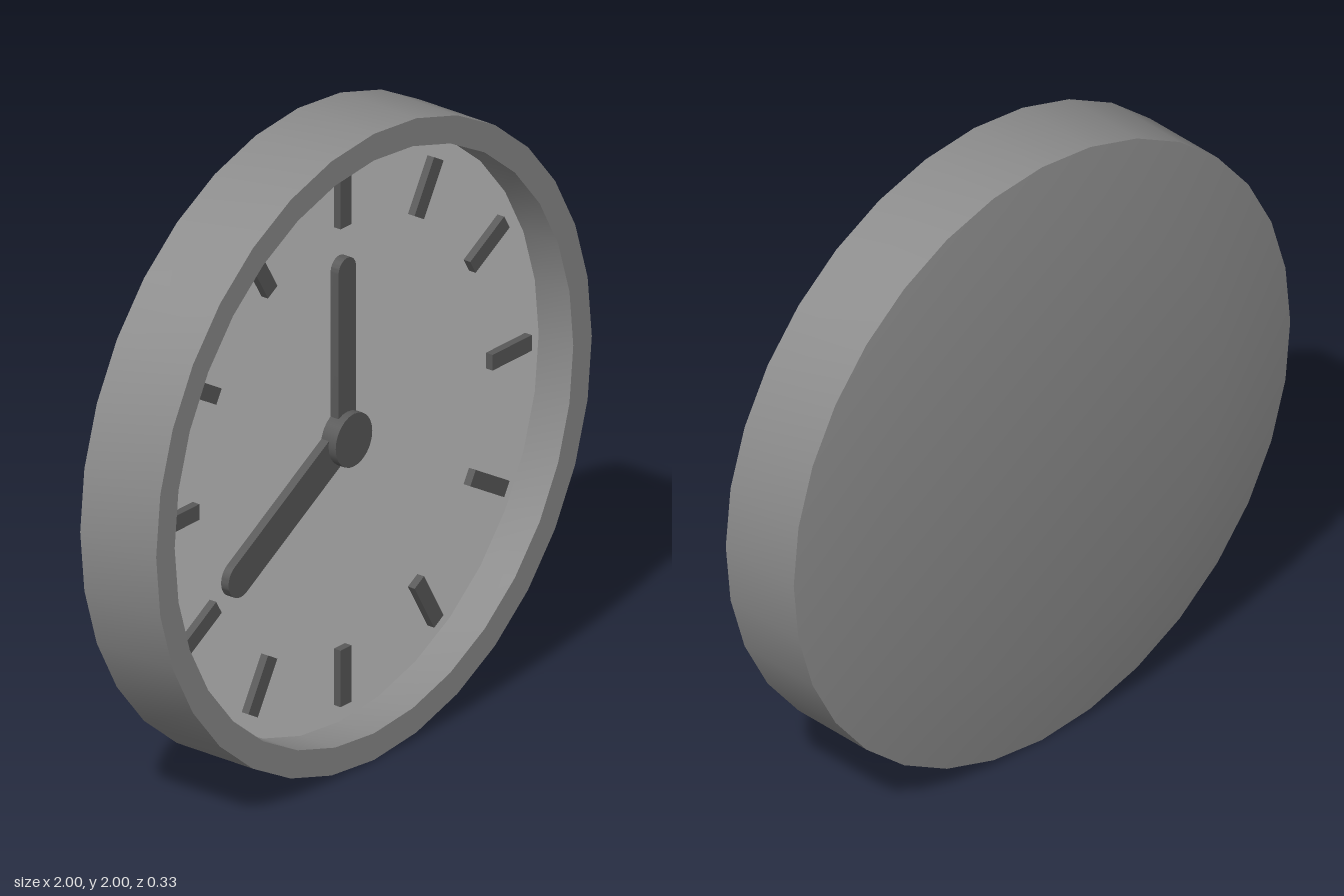
import * as THREE from 'three';
import { toCreasedNormals } from 'three/addons/utils/BufferGeometryUtils.js';

const SIDES = 32;
const FACE_Z = 0.035;

function material(name, color) {
  const m = new THREE.MeshStandardMaterial({ color });
  m.name = name;
  return m;
}

export function createModel() {
  const casing = material('casing grey', 0x8c8c8c);
  const pale = material('face grey', 0xc9c9c9);
  const dark = material('dark grey', 0x595959);

  const clock = new THREE.Group();
  clock.name = 'wallClock';
  const dial = new THREE.Group();
  dial.name = 'dial';
  dial.position.y = 1;
  clock.add(dial);

  function add(name, geometry, mat, z = 0, angle = 0) {
    const mesh = new THREE.Mesh(geometry, mat);
    mesh.name = name;
    mesh.position.z = z;
    mesh.rotation.z = angle;
    dial.add(mesh);
    return mesh;
  }

  // Casing: domed back, side wall, front rim and the wall inside the rim
  const profile = [
    [0, -0.165], [0.69, -0.165], [1, -0.12], [1, 0.165], [0.915, 0.165], [0.915, FACE_Z],
  ].map(([r, z]) => new THREE.Vector2(r, z));
  const shell = new THREE.LatheGeometry(profile, SIDES).rotateX(Math.PI / 2);
  add('casing', toCreasedNormals(shell, Math.PI / 6), casing);

  // Recessed face
  add('face', new THREE.CircleGeometry(0.915, SIDES), pale, FACE_Z);

  // Twelve hour marks
  const mark = new THREE.BoxGeometry(0.05, 0.18, 0.025).translate(0, 0.763, 0.0125);
  for (let i = 0; i < 12; i++) {
    add('hourMark' + (i + 1), mark, dark, FACE_Z, -(i + 1) * Math.PI / 6);
  }

  // Hands: straight bars with a round tip, pointing up before they are turned
  function hand(length, radius, depth) {
    const s = new THREE.Shape();
    s.moveTo(-radius, 0);
    s.lineTo(radius, 0);
    s.lineTo(radius, length - radius);
    s.absarc(0, length - radius, radius, 0, Math.PI, false);
    s.closePath();
    const g = new THREE.ExtrudeGeometry(s, { depth, bevelEnabled: false, curveSegments: 10 });
    return toCreasedNormals(g, Math.PI / 6);
  }
  add('minuteHand', hand(0.575, 0.04, 0.03), dark, FACE_Z);
  add('hourHand', hand(0.618, 0.056, 0.028), dark, FACE_Z, Math.PI * 2 / 3);

  // Hub
  const hub = new THREE.CylinderGeometry(0.084, 0.084, 0.055, 24).rotateX(Math.PI / 2);
  add('hub', hub, dark, FACE_Z + 0.0275);

  return clock;
}
